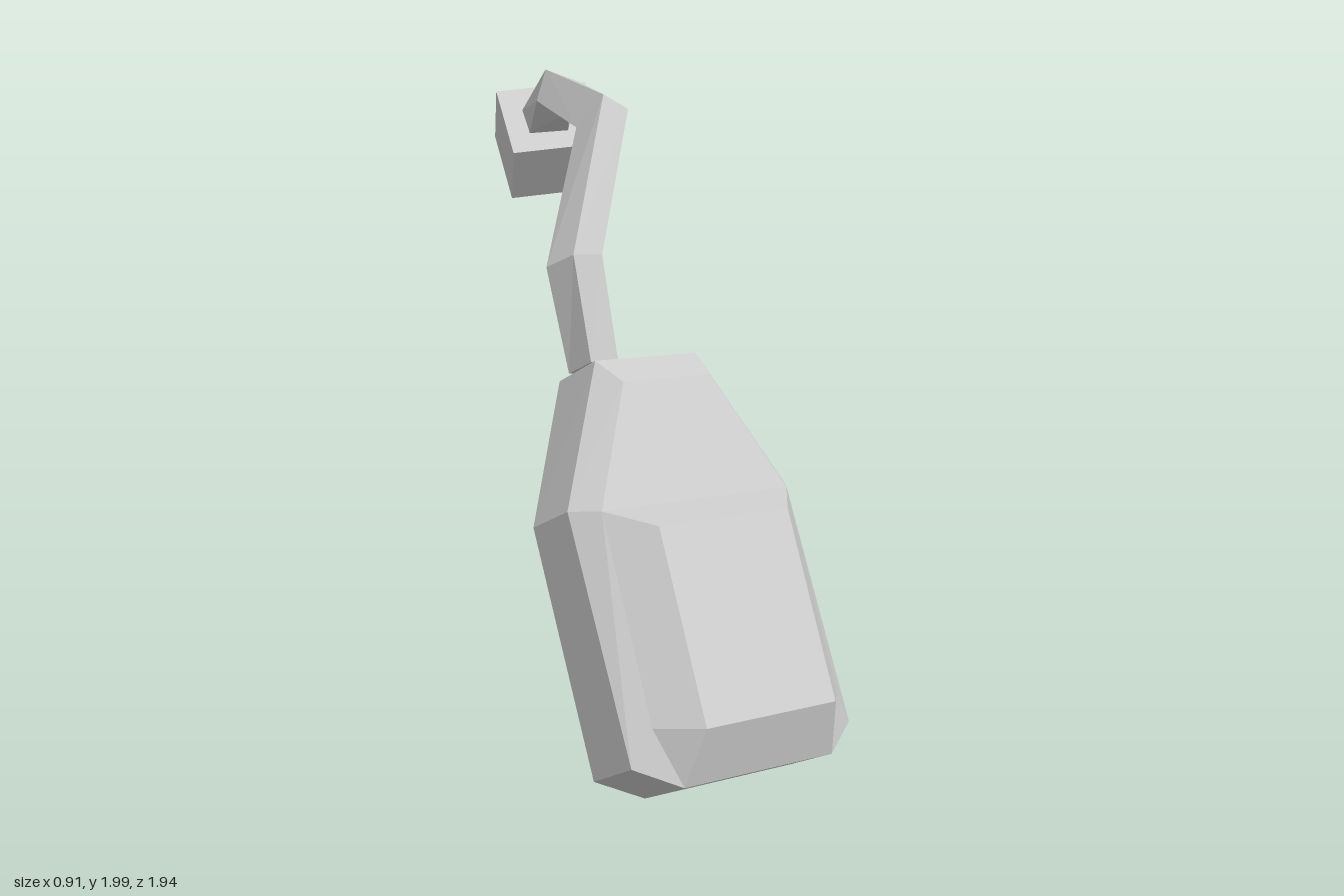
import * as THREE from 'three';
import { ConvexGeometry } from 'three/addons/geometries/ConvexGeometry.js';

const V = (p) => new THREE.Vector3(...p);
const material = () => new THREE.MeshStandardMaterial({ color: 0xcccccc, flatShading: true });

function part(name, geometry) {
  const mesh = new THREE.Mesh(geometry, material());
  mesh.name = name;
  return mesh;
}

// Convex solid from the corners of one half, mirrored across x
function mirroredHull(corners) {
  return new ConvexGeometry(corners.flatMap(([x, y, z]) => [V([x, y, z]), V([-x, y, z])]));
}

// Places an object at a point, with its local y along up and its local z near front
function orient(object, position, up, front) {
  const y = V(up).normalize();
  const x = new THREE.Vector3().crossVectors(y, V(front)).normalize();
  const z = new THREE.Vector3().crossVectors(x, y);
  object.quaternion.setFromRotationMatrix(new THREE.Matrix4().makeBasis(x, y, z));
  object.position.set(...position);
  return object;
}

// Four-sided tube through parallelogram rings, each given as
// front-left, front-right and back-left corners
function squareTube(rings) {
  const positions = [];
  const index = [];
  for (const [a, b, c] of rings) {
    const d = b.map((value, i) => value + c[i] - a[i]);
    positions.push(...a, ...b, ...d, ...c);
  }
  const last = (rings.length - 1) * 4;
  for (let r = 0; r < last; r += 4) {
    for (let i = 0; i < 4; i++) {
      const j = (i + 1) % 4;
      index.push(r + i, r + j, r + 4 + j, r + i, r + 4 + j, r + 4 + i);
    }
  }
  index.push(0, 2, 1, 0, 3, 2, last, last + 1, last + 2, last, last + 2, last + 3);
  const indexed = new THREE.BufferGeometry();
  indexed.setAttribute('position', new THREE.Float32BufferAttribute(positions, 3));
  indexed.setIndex(index);
  const geometry = indexed.toNonIndexed();
  geometry.computeVertexNormals();
  return geometry;
}

export function createModel() {
  const model = new THREE.Group();
  model.name = 'model';

  // Tilted body: chamfered shell with tapered shoulders
  const body = new THREE.Group();
  body.name = 'body';
  const shoulder = [0.348, 0.19, 0.16];
  const lowerCorner = [0.348, -0.44, 0.16];
  const bottomFront = [0.278, -0.62, 0.15];
  body.add(part('shell', mirroredHull([
    // front panel
    [0.163, 0.564, 0.156], shoulder, lowerCorner,
    // top
    [0.19, 0.654, 0.08], [0.19, 0.65, -0.12],
    // sides
    [0.411, 0.215, 0.083], [0.411, 0.213, -0.105],
    [0.411, -0.537, 0.106], [0.411, -0.543, -0.09],
    // bottom
    bottomFront, [0.278, -0.622, -0.05],
    // back panel
    [0.15, 0.56, -0.2], [0.33, 0.19, -0.2], [0.305, -0.45, -0.2],
  ])));

  // Raised front pouch with a sloped top
  body.add(part('frontPouch', mirroredHull([
    shoulder, lowerCorner, bottomFront,
    [0.241, 0.109, 0.266], [0.241, -0.476, 0.266],
  ])));
  model.add(orient(body, [-0.014, 0.601, 0.455], [-0.086, 0.883, -0.463], [0.314, 0.465, 0.828]));

  // Bent arm rising from the top corner of the body
  model.add(part('arm', squareTube([
    [[-0.23, 1.22, 0.255], [-0.13, 1.2, 0.21], [-0.275, 1.17, 0.175]],
    [[-0.255, 1.53, 0.165], [-0.15, 1.515, 0.115], [-0.315, 1.48, 0.08]],
    [[-0.05, 1.96, -0.185], [0.035, 1.91, -0.2], [-0.125, 1.855, -0.23]],
    [[-0.12, 2.0, -0.59], [-0.015, 1.96, -0.575], [-0.165, 1.905, -0.54]],
    [[-0.155, 1.85, -0.755], [-0.025, 1.85, -0.75], [-0.155, 1.785, -0.665]],
  ])));

  // Box at the end of the arm
  const endBox = part('endBox', new THREE.BoxGeometry(0.305, 0.302, 0.207));
  model.add(orient(endBox, [-0.06, 1.745, -0.772], [0.03, 0.58, -0.815], [-0.12, 0.7, 0.7]));

  return model;
}
